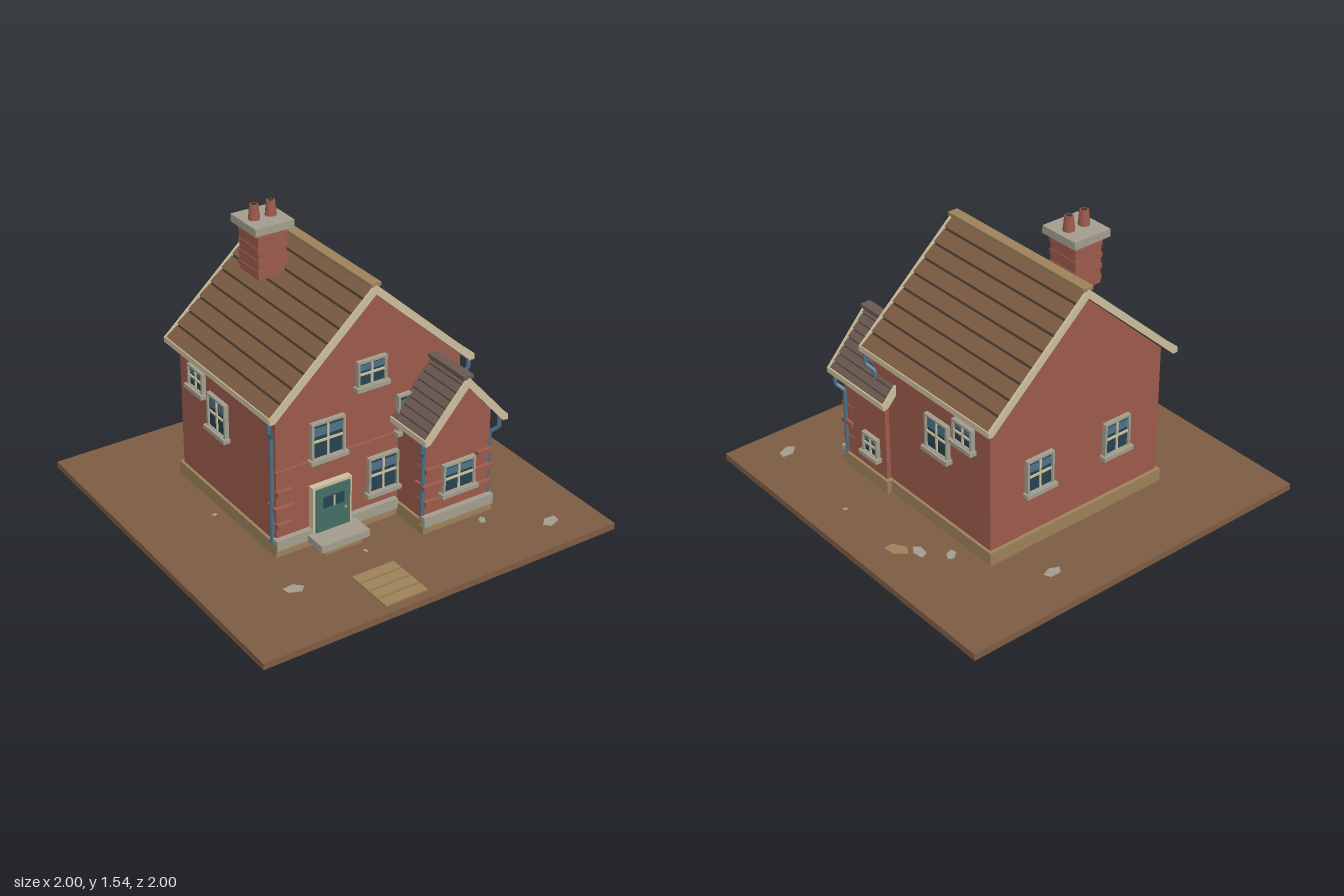
import * as THREE from 'three';

const mat = (name, color) => {
  const m = new THREE.MeshStandardMaterial({ color });
  m.name = name;
  return m;
};

export function createModel() {
  const M = {
    earth: mat('earth brown', 0x7c5b42),
    brick: mat('red brick', 0x9b5a4b),
    cream: mat('cream trim', 0xcabd9c),
    stone: mat('grey stone', 0xa19c8c),
    tan: mat('tan stone', 0x9c8059),
    green: mat('door green', 0x416e63),
    glass: mat('dark glass', 0x26424f),
    blue: mat('steel blue', 0x4d7186),
    slate: mat('dark roof tile', 0x6a5850),
    shadow: mat('roof gap brown', 0x40352d),
  };
  const model = new THREE.Group();

  const add = (parent, name, geo, m, x = 0, y = 0, z = 0) => {
    const mesh = new THREE.Mesh(geo, m);
    mesh.name = name;
    mesh.position.set(x, y, z);
    parent.add(mesh);
    return mesh;
  };
  const group = (parent, name, x = 0, y = 0, z = 0) => {
    const g = new THREE.Group();
    g.name = name;
    g.position.set(x, y, z);
    parent.add(g);
    return g;
  };
  // Box given by its minimum and maximum on each axis
  const box = (parent, name, m, x0, x1, y0, y1, z0, z1) =>
    add(parent, name, new THREE.BoxGeometry(x1 - x0, y1 - y0, z1 - z0), m,
      (x0 + x1) / 2, (y0 + y1) / 2, (z0 + z1) / 2);

  // Five-sided gabled block running along z
  const gableBlock = (name, x0, x1, y0, eave, apex, z0, z1) => {
    const s = new THREE.Shape([[x0, y0], [x1, y0], [x1, eave], [(x0 + x1) / 2, apex], [x0, eave]]
      .map(p => new THREE.Vector2(...p)));
    add(model, name, new THREE.ExtrudeGeometry(s, { depth: z1 - z0, bevelEnabled: false }), M.brick, 0, 0, z0);
  };

  // Pitched roof: overlapping tile rows, barge boards, eave boards and a ridge cap
  const gableRoof = (name, cx, apex, halfW, eave, z0, z1, rows, tile, ridge) => {
    const roof = group(model, name, cx, apex, (z0 + z1) / 2);
    const drop = apex - eave, len = Math.hypot(halfW, drop), depth = z1 - z0, step = len / rows;
    for (const s of [1, -1]) {
      const side = group(roof, 'roofSide');
      side.rotation.y = s > 0 ? 0 : Math.PI;
      const slope = group(side, 'slope');
      slope.rotation.z = -Math.atan2(drop, halfW);
      box(slope, 'roofDeck', M.shadow, 0, len - 0.005, -0.025, -0.008, -depth / 2 + 0.01, depth / 2 - 0.01);
      for (let i = 0; i < rows; i++) {
        const row = add(slope, 'tileRow', new THREE.BoxGeometry(step * 0.88, 0.01, depth - 0.024), tile,
          (i + 0.46) * step, -0.004, 0);
        row.rotation.z = 0.1;
      }
      for (const e of [1, -1])
        add(slope, 'bargeBoard', new THREE.BoxGeometry(len, 0.036, 0.014), M.cream,
          len / 2, -0.013, e * (depth / 2 - 0.007));
      add(side, 'eaveBoard', new THREE.BoxGeometry(0.016, 0.03, depth), M.cream, halfW - 0.006, -drop - 0.005, 0);
    }
    add(roof, 'ridgeCap', new THREE.BoxGeometry(0.056, 0.018, depth - 0.004), ridge, 0, 0.005, 0);
  };

  // Window facing local +z, centred on its glass
  const windowUnit = (name, w, h, x, y, z, turn = 0) => {
    const g = group(model, name, x, y, z);
    g.rotation.y = turn;
    const t = 0.012;
    box(g, 'glass', M.glass, -w / 2, w / 2, -h / 2, h / 2, -0.01, 0.008);
    box(g, 'paleGlass', M.blue, -w / 2, w / 2, h * 0.13, h * 0.36, 0.008, 0.01);
    for (const s of [1, -1]) {
      box(g, 'frameSide', M.stone, s * w / 2 - t / 2, s * w / 2 + t / 2, -h / 2, h / 2, -0.01, 0.02);
      box(g, 'frameRail', M.stone, -w / 2 - t / 2, w / 2 + t / 2, s * h / 2 - t / 2, s * h / 2 + t / 2, -0.01, 0.02);
    }
    box(g, 'mullion', M.cream, -0.005, 0.005, -h / 2, h / 2, 0, 0.016);
    box(g, 'transom', M.cream, -w / 2, w / 2, -0.005, 0.005, 0, 0.016);
    box(g, 'sill', M.stone, -w / 2 - 0.018, w / 2 + 0.018, -h / 2 - 0.018, -h / 2 + 0.004, -0.01, 0.034);
  };

  // Ground, path slabs and flat stones
  box(model, 'ground', M.earth, -1, 1, 0, 0.035, -1, 1);
  for (let i = 0; i < 4; i++)
    box(model, 'pathSlab', M.tan, -0.32, -0.085, 0.03, 0.044, 0.68 + i * 0.071, 0.74 + i * 0.071);
  const stones = [[0.36, -0.78, 0.05, 0], [0.64, -0.38, 0.04, 0], [0.74, -0.265, 0.05, 0], [0.81, -0.185, 0.065, 1],
    [-0.59, 0.605, 0.055, 0], [0.75, 0.815, 0.055, 0], [0.48, 0.625, 0.03, 0], [-0.14, 0.53, 0.016, 0],
    [0.81, 0.23, 0.016, 0], [-0.58, -0.13, 0.016, 0]];
  stones.forEach(([x, z, r, tan], i) => {
    const stone = add(model, 'flatStone', new THREE.CylinderGeometry(r, r, 0.004, 5), tan ? M.tan : M.stone, x, 0.036, z);
    stone.scale.z = 0.6;
    stone.rotation.y = i * 0.7;
  });

  // Walls and plinths
  gableBlock('mainWalls', -0.51, 0.538, 0.04, 0.8, 1.285, -0.545, 0.33);
  gableBlock('wingWalls', 0.18, 0.562, 0.04, 0.595, 0.815, 0.22, 0.55);
  box(model, 'mainPlinth', M.tan, -0.525, 0.553, 0.033, 0.105, -0.565, 0.35);
  box(model, 'wingPlinth', M.tan, 0.165, 0.577, 0.033, 0.105, 0.2, 0.57);
  box(model, 'mainPlinthFront', M.stone, -0.525, 0.165, 0.075, 0.13, 0.32, 0.36);
  box(model, 'wingPlinthFront', M.stone, 0.165, 0.577, 0.075, 0.13, 0.54, 0.58);
  box(model, 'stringCourse', M.brick, -0.515, 0.18, 0.477, 0.495, 0.32, 0.342);

  // Projecting corner bricks
  const quoins = (x, dir, z) => [0.377, 0.287, 0.197].forEach((y, i) => {
    const out = i === 1 ? 0.014 : 0.004, a = x - dir * out, b = x + dir * (i === 1 ? 0.09 : 0.08);
    box(model, 'cornerBrick', M.brick, Math.min(a, b), Math.max(a, b), y - 0.013, y + 0.013, z - 0.06, z + 0.022);
  });
  quoins(-0.51, 1, 0.33);
  quoins(0.18, 1, 0.55);
  quoins(0.562, -1, 0.55);

  // Roofs
  gableRoof('mainRoof', 0.012, 1.325, 0.575, 0.8, -0.6, 0.375, 9, M.earth, M.tan);
  gableRoof('wingRoof', 0.374, 0.848, 0.24, 0.575, 0.155, 0.615, 8, M.slate, M.slate);

  // Chimney
  const chimney = group(model, 'chimney', -0.172, 0, -0.303);
  box(chimney, 'stack', M.brick, -0.078, 0.078, 1.18, 1.425, -0.086, 0.086);
  for (let i = 0; i < 4; i++)
    box(chimney, 'brickBand', M.brick, -0.082, 0.082, 1.2 + i * 0.058, 1.225 + i * 0.058, -0.09, 0.09);
  box(chimney, 'cap', M.stone, -0.108, 0.108, 1.42, 1.46, -0.112, 0.112);
  for (const x of [-0.046, 0.046]) {
    add(chimney, 'pot', new THREE.CylinderGeometry(0.022, 0.03, 0.078, 10), M.brick, x, 1.496, 0);
    add(chimney, 'potMouth', new THREE.CylinderGeometry(0.015, 0.015, 0.004, 10), M.shadow, x, 1.535, 0);
  }

  // Windows
  windowUnit('upperLeftWindow', 0.175, 0.19, -0.232, 0.595, 0.335);
  windowUnit('upperRightWindow', 0.175, 0.19, 0.256, 0.595, 0.335);
  windowUnit('gableWindow', 0.152, 0.128, 0.012, 0.873, 0.335);
  windowUnit('groundWindow', 0.162, 0.19, 0.085, 0.301, 0.335);
  windowUnit('wingWindow', 0.178, 0.152, 0.372, 0.3, 0.555);
  windowUnit('wingSideWindow', 0.108, 0.105, 0.566, 0.254, 0.33, Math.PI / 2);
  for (const s of [1, -1]) {
    const x = s > 0 ? 0.542 : -0.514;
    windowUnit('sideLargeWindow', 0.158, 0.178, x, 0.555, -0.173, s * Math.PI / 2);
    windowUnit('sideSmallWindow', 0.13, 0.11, x, 0.665, -0.367, s * Math.PI / 2);
    windowUnit('backWindow', 0.15, 0.175, 0.012 + s * 0.24, 0.428, -0.549, Math.PI);
  }

  // Front door and step
  const door = group(model, 'door', -0.219, 0, 0.33);
  box(door, 'frame', M.cream, -0.11, 0.11, 0.09, 0.358, -0.01, 0.034);
  box(door, 'leaf', M.green, -0.096, 0.096, 0.1, 0.344, 0, 0.042);
  box(door, 'doorWindow', M.glass, -0.057, 0.057, 0.24, 0.296, 0.04, 0.05);
  box(door, 'doorWindowBar', M.cream, -0.005, 0.005, 0.24, 0.296, 0.04, 0.053);
  add(door, 'knob', new THREE.SphereGeometry(0.009, 10, 8), M.tan, 0.068, 0.205, 0.047);
  box(model, 'doorStep', M.stone, -0.355, -0.083, 0.07, 0.108, 0.32, 0.482);
  box(model, 'stepBase', M.tan, -0.325, -0.113, 0.033, 0.07, 0.32, 0.46);

  // Gutters and drainpipes
  const pipe = (name, points) => {
    const path = new THREE.CurvePath();
    const v = points.map(p => new THREE.Vector3(...p));
    for (let i = 1; i < v.length; i++) path.add(new THREE.LineCurve3(v[i - 1], v[i]));
    add(model, name, new THREE.TubeGeometry(path, 40, 0.011, 8), M.blue);
  };
  for (const s of [1, -1]) {
    const mx = d => 0.012 + s * d, wx = d => 0.371 + s * d;
    pipe('mainDrainpipe', [[mx(0.565), 0.785, 0.345], [mx(0.565), 0.72, 0.345], [mx(0.533), 0.68, 0.31], [mx(0.533), 0.1, 0.31]]);
    pipe('wingDrainpipe', [[wx(0.226), 0.565, 0.575], [wx(0.226), 0.5, 0.575], [wx(0.196), 0.465, 0.543], [wx(0.196), 0.1, 0.543]]);
    box(model, 'gutter', M.blue, mx(0.56) - 0.01, mx(0.56) + 0.01, 0.776, 0.796, 0.12, 0.365);
  }
  return model;
}
